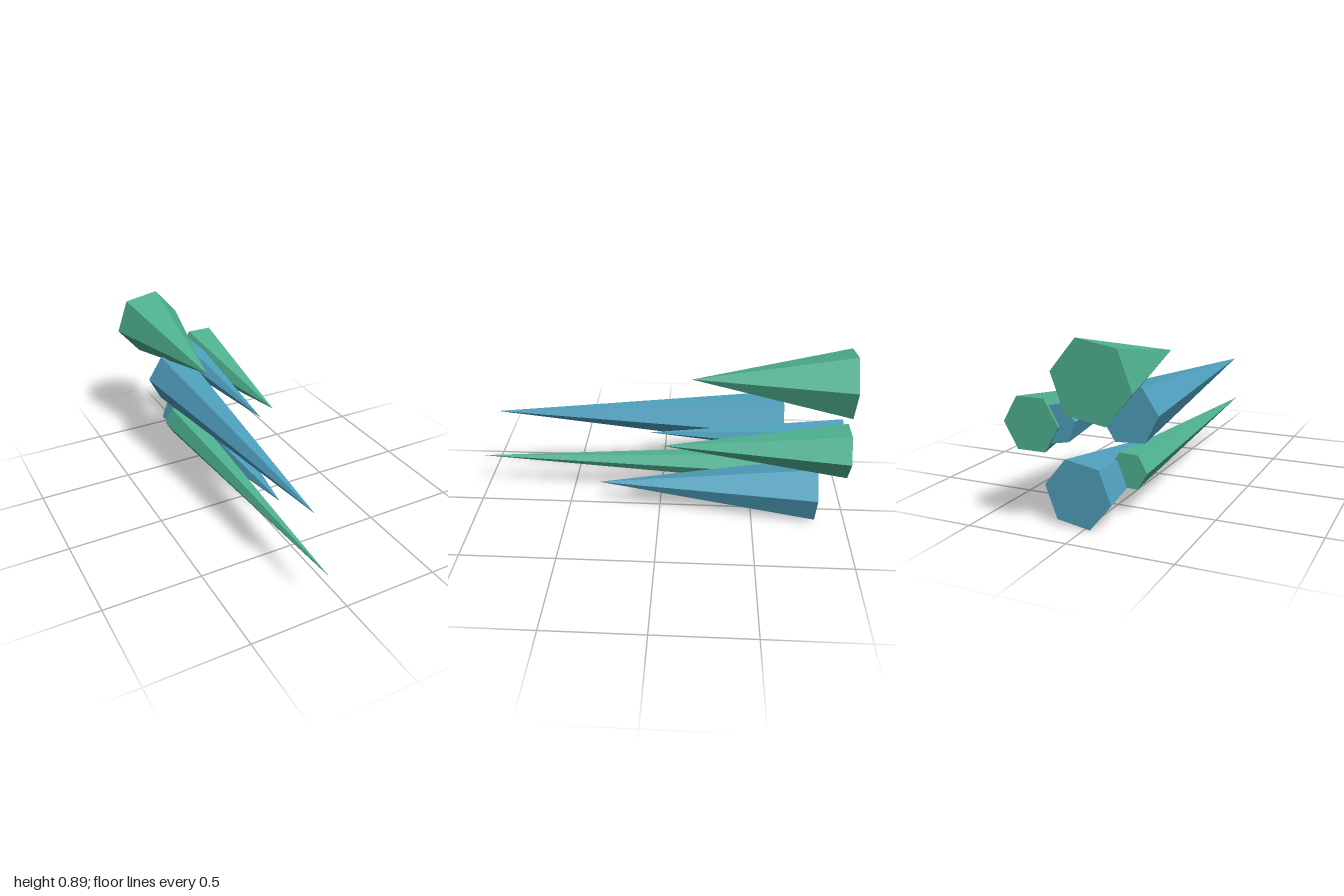
import * as THREE from 'three';

const green = new THREE.MeshStandardMaterial({ color: 0x50b493, flatShading: true });
green.name = 'crystal green';
const blue = new THREE.MeshStandardMaterial({ color: 0x50a2c0, flatShading: true });
blue.name = 'crystal blue';

// Six-sided spike pointing to +z; turn is the angle of its first corner in degrees
function spike(name, material, x, y, radius, tipZ, baseZ, turn) {
  const geometry = new THREE.ConeGeometry(radius, tipZ - baseZ, 6);
  geometry.rotateX(Math.PI / 2);
  geometry.rotateZ(THREE.MathUtils.degToRad(turn + 30));
  const mesh = new THREE.Mesh(geometry, material);
  mesh.name = name;
  mesh.position.set(x, y, (tipZ + baseZ) / 2);
  return mesh;
}

export function createModel() {
  const group = new THREE.Group();
  group.name = 'crystalSpikes';
  group.add(
    spike('topSpike', green, -0.134, 0.715, 0.189, -0.16, -1, 9.8),
    spike('rightSpike', blue, -0.13, 0.497, 0.148, 0.89, -0.645, -3.2),
    spike('middleSpike', blue, 0.071, 0.5065, 0.096, 0.05, -0.935, -11.1),
    spike('leftSpike', green, 0.185, 0.497, 0.136, -0.02, -0.95, 0),
    spike('longThinSpike', green, -0.11, 0.221, 0.095, 1, -0.61, 1.8),
    spike('bottomSpike', blue, 0.031, 0.1605, 0.168, 0.33, -0.835, 9.5)
  );
  return group;
}
